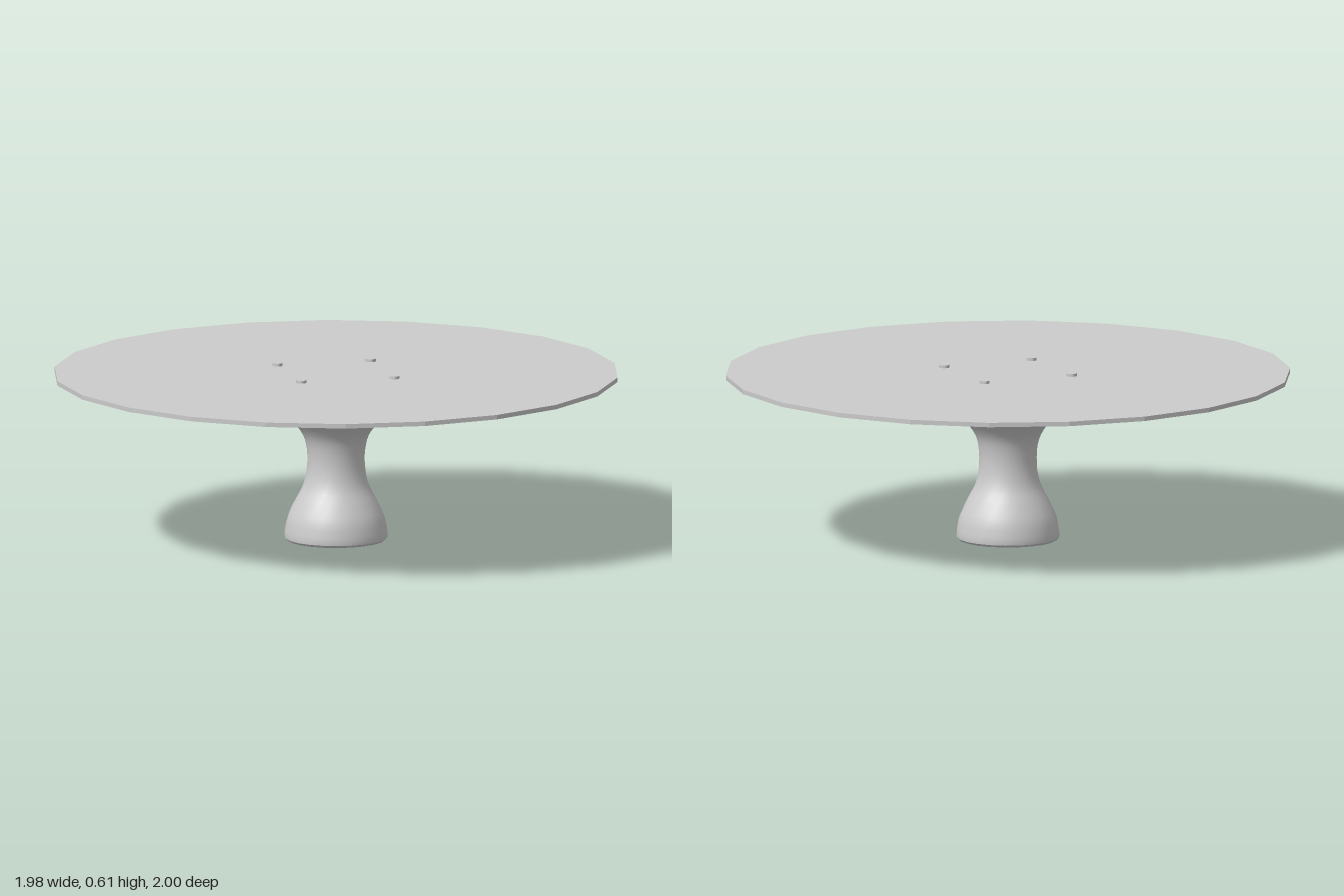
import * as THREE from 'three';
import { toCreasedNormals } from 'three/addons/utils/BufferGeometryUtils.js';

const SIDES = 22;
const TWIST = Math.PI * 0.5;

function part(name, geometry, material, x = 0, y = 0, z = 0) {
  const mesh = new THREE.Mesh(geometry, material);
  mesh.name = name;
  mesh.position.set(x, y, z);
  return mesh;
}

// Hourglass column whose facets spiral upward
function pedestalGeometry() {
  const side = new THREE.SplineCurve([
    [0.183, 0.02], [0.172, 0.08], [0.145, 0.14], [0.115, 0.2], [0.102, 0.27], [0.106, 0.34],
    [0.125, 0.39], [0.175, 0.45], [0.225, 0.5], [0.26, 0.545], [0.272, 0.585],
  ].map(([r, y]) => new THREE.Vector2(r, y))).getPoints(30);
  const profile = [
    new THREE.Vector2(0, 0), new THREE.Vector2(0.174, 0), new THREE.Vector2(0.182, 0.008),
    ...side, new THREE.Vector2(0, 0.585),
  ];
  const geometry = new THREE.LatheGeometry(profile, SIDES);
  const p = geometry.attributes.position;
  const v = new THREE.Vector3();
  const up = new THREE.Vector3(0, 1, 0);
  for (let i = 0; i < p.count; i++) {
    v.fromBufferAttribute(p, i).applyAxisAngle(up, TWIST * p.getY(i) / 0.585);
    p.setXYZ(i, v.x, v.y, v.z);
  }
  return toCreasedNormals(geometry, 0.6);
}

export function createModel() {
  const model = new THREE.Group();
  model.name = 'pedestalTable';
  const grey = new THREE.MeshStandardMaterial({ color: 0xcccccc });

  model.add(part('pedestal', pedestalGeometry(), grey));

  // Thin faceted tabletop
  const top = toCreasedNormals(new THREE.CylinderGeometry(1, 1, 0.016, SIDES), 0.2);
  model.add(part('tabletop', top, grey, 0, 0.592, 0));

  // Four fixing studs standing slightly above the top
  const stud = toCreasedNormals(new THREE.CylinderGeometry(0.018, 0.018, 0.026, 12), 0.6);
  for (let i = 0; i < 4; i++) {
    const a = i * Math.PI / 2;
    model.add(part('stud', stud, grey, 0.24 * Math.sin(a), 0.597, 0.24 * Math.cos(a)));
  }
  return model;
}
